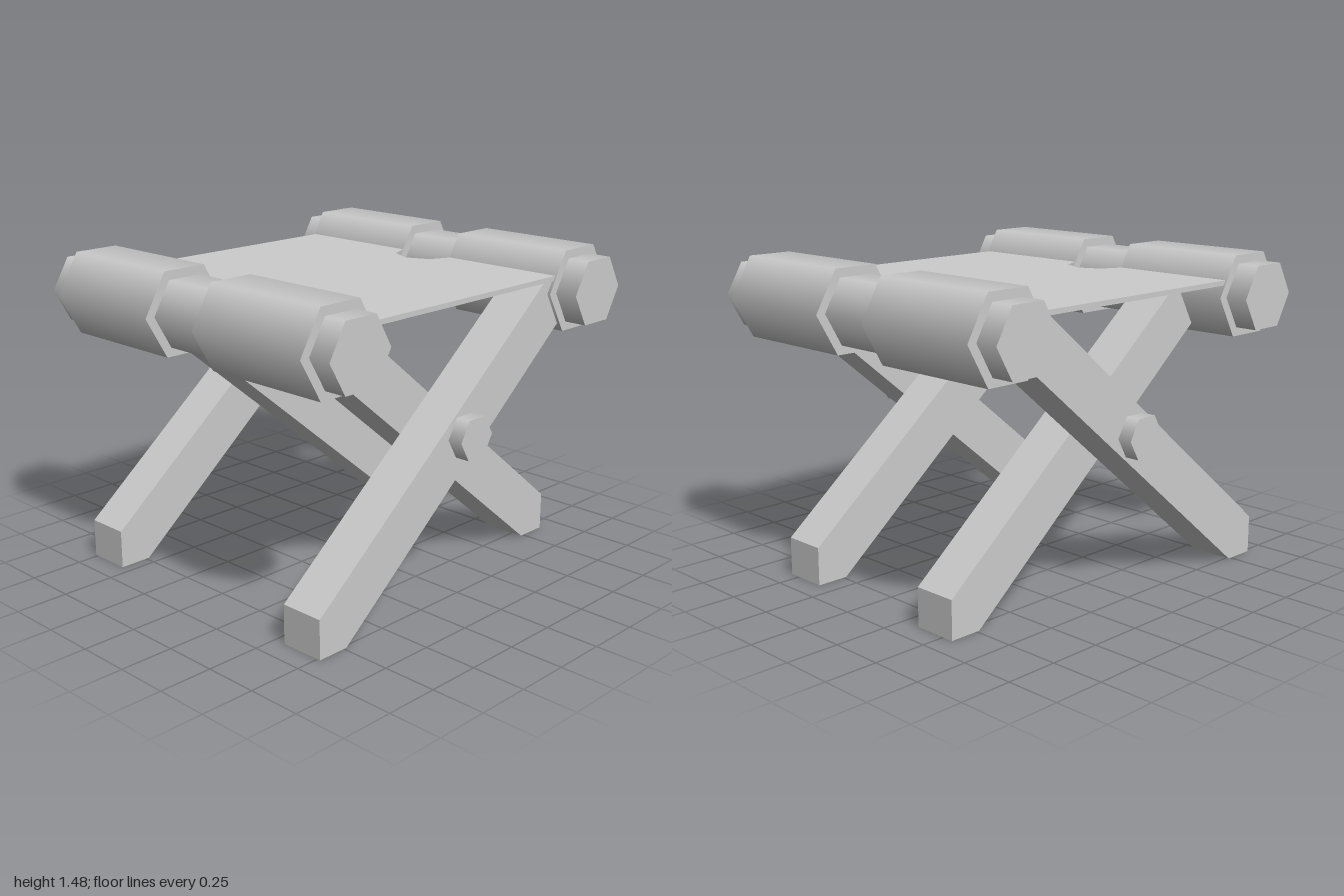
import * as THREE from 'three';

export function createModel() {
  const model = new THREE.Group();
  model.name = 'foldingStool';
  const grey = new THREE.MeshStandardMaterial({ color: 0xcccccc });
  grey.name = 'plainGrey';

  const add = (name, geometry) => {
    const mesh = new THREE.Mesh(geometry, grey);
    mesh.name = name;
    model.add(mesh);
    return mesh;
  };

  // Six-sided bar along z, with corners pointing to the sides
  const hexBar = (name, radius, x, y, z0, z1) => {
    const geo = new THREE.CylinderGeometry(radius, radius, z1 - z0, 6, 1, false, Math.PI / 2);
    geo.rotateX(Math.PI / 2);
    add(name, geo).position.set(x, y, (z0 + z1) / 2);
  };

  const extrude = (points, depth) => new THREE.ExtrudeGeometry(
    new THREE.Shape(points.map(([x, y]) => new THREE.Vector2(x, y))),
    { depth, bevelEnabled: false });

  // Top rails, each a thin rod with two sleeves of cloth
  for (const [side, s] of [['left', 1], ['right', -1]]) {
    const x = s * 0.785;
    hexBar(side + 'Rod', 0.17, x, 1.29, -0.888, 0.888);
    hexBar(side + 'FrontSleeve', 0.2165, x, 1.29, 0.15, 0.78);
    hexBar(side + 'BackSleeve', 0.2165, x, 1.29, -0.78, -0.15);
  }

  // Crossed legs: outer ones rise to the left, inner ones to the right
  const legProfile = [[-0.89, 0], [-0.735, 0], [0.8, 1.26], [0.7, 1.345], [0.54, 1.345], [-0.89, 0.18]];
  const mirrored = legProfile.map(([x, y]) => [-x, y]).reverse();
  const legs = [
    ['frontOuterLeg', legProfile, 0.555], ['frontInnerLeg', mirrored, 0.345],
    ['backInnerLeg', mirrored, -0.555], ['backOuterLeg', legProfile, -0.765],
  ];
  for (const [name, profile, z] of legs) {
    add(name, extrude(profile, 0.21)).position.z = z;
  }

  // Pivot pins through each pair of legs
  hexBar('frontPivotPin', 0.105, 0, 0.755, 0.4, 0.836);
  hexBar('backPivotPin', 0.105, 0, 0.755, -0.834, -0.4);

  // Seat sheet with a faceted notch at the middle of each side
  const half = [[0.64, -0.772], [0.64, -0.154], [0.61, -0.152], [0.513, -0.108], [0.465, 0],
    [0.513, 0.108], [0.61, 0.152], [0.64, 0.154], [0.64, 0.772]];
  const outline = [...half, ...half.map(([x, y]) => [-x, -y])];
  const sheet = extrude(outline, 0.023);
  sheet.rotateX(-Math.PI / 2);
  add('seat', sheet).position.y = 1.346;

  return model;
}
